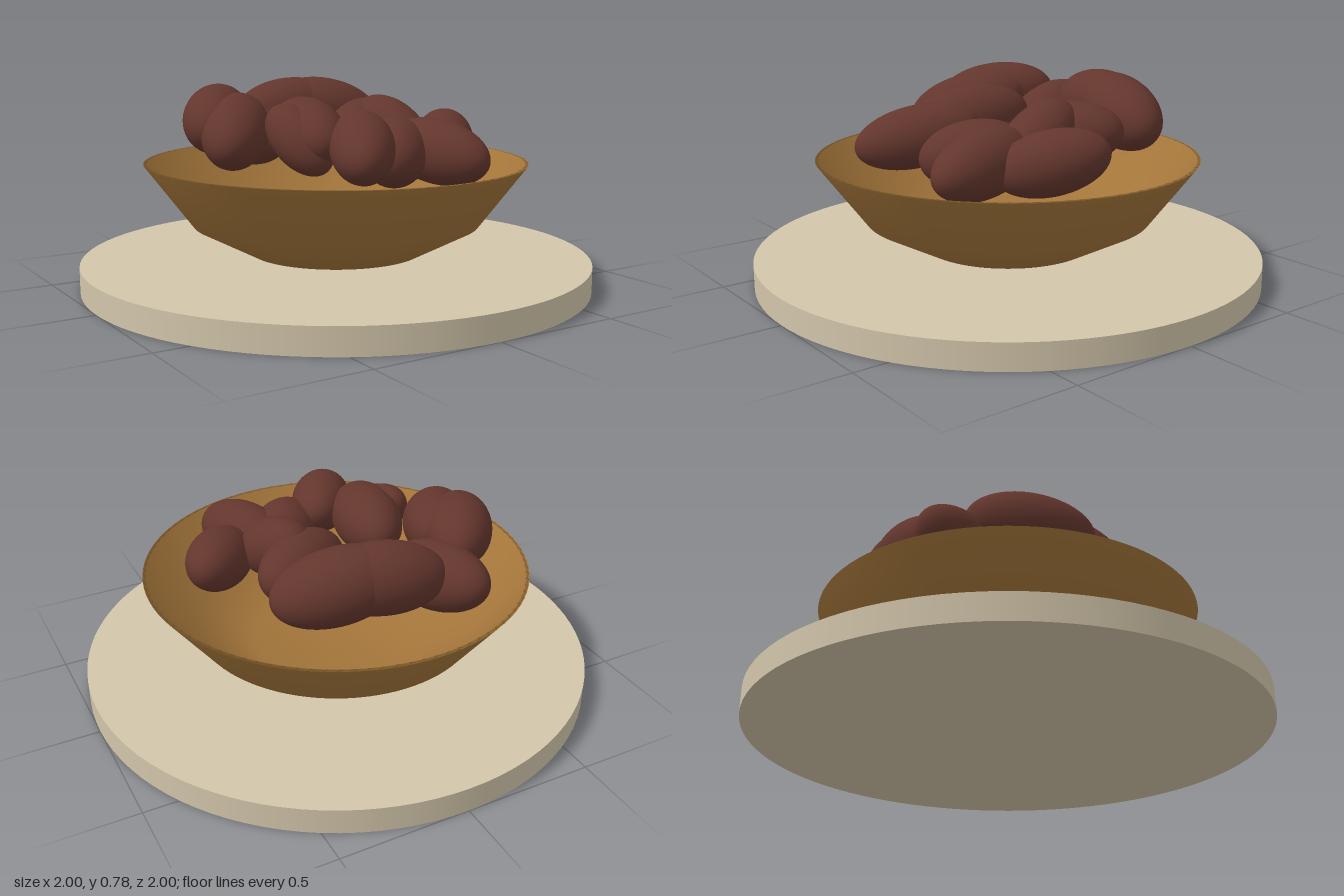
import * as THREE from 'three';

const mat = (name, color) => {
  const m = new THREE.MeshStandardMaterial({ color });
  m.name = name;
  return m;
};

export function createModel() {
  const group = new THREE.Group();
  const stone = mat('pale stone', 0xd2c5aa);
  const wood = mat('honey wood', 0xa3753a);
  wood.side = THREE.DoubleSide;
  const fruit = mat('date brown', 0x63362d);

  const add = (name, geometry, material) => {
    const mesh = new THREE.Mesh(geometry, material);
    mesh.name = name;
    group.add(mesh);
    return mesh;
  };

  // Round base plate
  add('plate', new THREE.CylinderGeometry(1, 1, 0.1, 96), stone).position.y = 0.05;

  // Thin-walled bowl: outside up to the rim, then back down the inside
  const profile = [
    [0, 0.117], [0.34, 0.117], [0.565, 0.235], [0.75, 0.48],
    [0.735, 0.48], [0.545, 0.25], [0.33, 0.137], [0, 0.137],
  ].map(([x, y]) => new THREE.Vector2(x, y));
  add('bowl', new THREE.LatheGeometry(profile, 96), wood);

  // Dates: centre, half-axis vector along the fruit, radius
  const dates = [
    [[-0.21, 0.57, -0.40], [-0.06, 0.04, -0.225], 0.13],
    [[0.04, 0.645, -0.44], [0.235, 0.02, 0.04], 0.135],
    [[0.20, 0.635, -0.405], [0.235, -0.05, 0.06], 0.14],
    [[-0.40, 0.645, -0.24], [0.13, 0.03, -0.205], 0.13],
    [[-0.395, 0.61, -0.09], [0.13, 0.06, -0.20], 0.13],
    [[-0.17, 0.605, 0.07], [0.06, 0.03, -0.245], 0.13],
    [[-0.25, 0.59, 0.14], [-0.03, 0.10, -0.14], 0.10],
    [[-0.11, 0.575, 0.35], [0.12, 0.05, -0.205], 0.12],
    [[0.26, 0.53, 0.31], [-0.05, 0.03, -0.235], 0.125],
    [[0.43, 0.54, 0.135], [0.13, 0.05, -0.165], 0.12],
    [[0.20, 0.575, -0.115], [0.19, 0.03, -0.135], 0.13],
    [[0.24, 0.59, 0.04], [-0.03, 0.09, -0.17], 0.115],
    [[0.11, 0.53, 0.24], [0.12, 0.03, -0.17], 0.13],
  ];
  const ball = new THREE.SphereGeometry(1, 40, 28);
  const up = new THREE.Vector3(0, 1, 0);
  dates.forEach(([centre, axis, r], i) => {
    const dir = new THREE.Vector3(...axis);
    const mesh = add(`date${i + 1}`, ball, fruit);
    mesh.position.set(...centre);
    mesh.scale.set(r, dir.length(), r);
    mesh.quaternion.setFromUnitVectors(up, dir.normalize());
  });

  return group;
}
